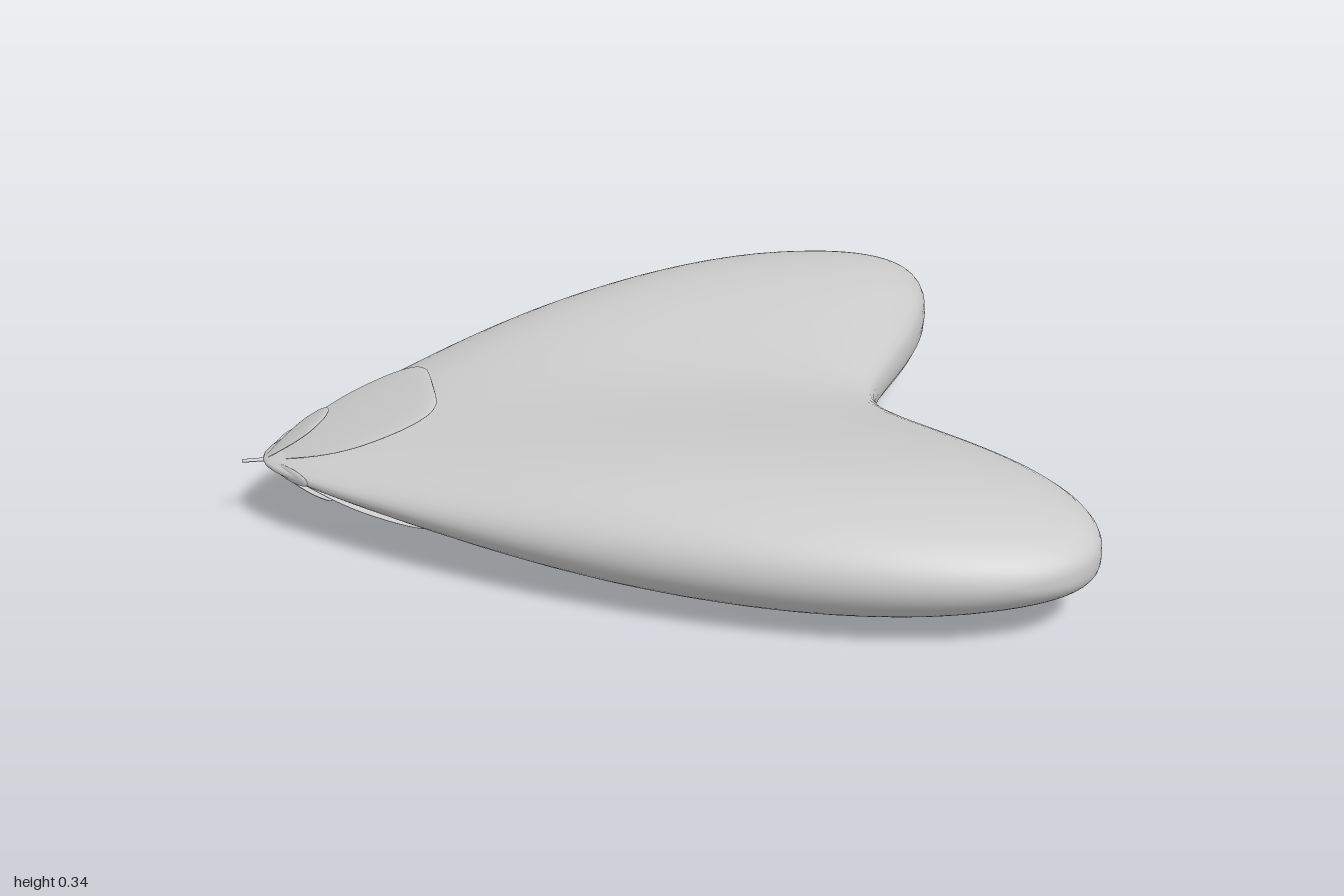
import * as THREE from 'three';
import { mergeVertices } from 'three/addons/utils/BufferGeometryUtils.js';

const MID = 0.178;   // height of the pod's flat middle plane
const TIP = -0.93;   // x of the pointed end
const material = new THREE.MeshStandardMaterial({ color: 0xcccccc });

function addMesh(parent, name, geometry) {
  const mesh = new THREE.Mesh(geometry, material);
  mesh.name = name;
  parent.add(mesh);
  return mesh;
}

// Heart-shaped pod: a sphere with poles at z = +-1, swept back on both lobes
function podGeometry() {
  const sphere = new THREE.SphereGeometry(1, 64, 96).rotateX(Math.PI / 2);
  const pos = sphere.attributes.position;
  const sweep = (z, k, e) => k * (Math.sqrt(z * z + e * e) - e);
  for (let i = 0; i < pos.count; i++) {
    const z = pos.getZ(i);
    const r = Math.sqrt(Math.max(0, 1 - z * z));
    const u = r > 1e-4 ? pos.getX(i) / r : 0;
    const v = r > 1e-4 ? pos.getY(i) / r : 0;
    // sharp sweep on the tip side, softer on the notch side
    const shift = THREE.MathUtils.lerp(sweep(z, 0.895, 0.08), sweep(z, 0.96, 0.15), (1 + u) / 2);
    const x = -0.145 + shift + 0.785 * r * u;
    // lobes thicker than the middle, thinning towards the tip, blunt at the rim
    const thick = r * (0.13 + 0.115 * THREE.MathUtils.smoothstep(Math.abs(z), 0, 1));
    const taper = 1 - 0.55 * Math.pow(Math.max(0, -x) / 0.93, 2.5);
    const power = u > 0 ? 1 - 0.3 * Math.min(1, u * 3) : 1;
    const y = Math.sign(v) * Math.pow(Math.abs(v), power) * thick * taper;
    pos.setXYZ(i, x, y, z);
  }
  // weld the seam so the shading stays smooth
  sphere.deleteAttribute('uv');
  sphere.deleteAttribute('normal');
  const welded = mergeVertices(sphere, 1e-4);
  welded.computeVertexNormals();
  return welded;
}

// Flat leaf growing along +x from the origin; profile is [position, half width]
function leafGeometry(profile, length, halfWidth, halfThickness) {
  const curve = new THREE.SplineCurve(profile.map(([t, w]) => new THREE.Vector2(w, t)));
  const points = curve.getPoints(36).map(p => new THREE.Vector2(Math.max(0, p.x), p.y));
  return new THREE.LatheGeometry(points, 32)
    .rotateZ(-Math.PI / 2)
    .scale(length, halfThickness, halfWidth);
}

export function createModel() {
  const group = new THREE.Group();
  group.name = 'heartSeedPod';

  addMesh(group, 'pod', podGeometry()).position.y = MID;

  const spoon = [[0, 0], [0.08, 0.2], [0.3, 0.66], [0.52, 0.93], [0.76, 1],
    [0.92, 0.9], [0.985, 0.68], [1, 0.4], [1, 0]];
  const oval = [[0, 0], [0.08, 0.25], [0.35, 0.75], [0.65, 1], [0.88, 0.75], [0.97, 0.4], [1, 0]];

  const flower = new THREE.Group();
  flower.name = 'flowerRemains';
  flower.position.set(TIP, MID, 0);
  group.add(flower);

  for (const side of [1, -1]) {
    const where = side > 0 ? 'upper' : 'lower';
    // large spoon-shaped petal and small sepal above and below
    addMesh(flower, where + 'Petal', leafGeometry(spoon, 0.46, 0.17, 0.012))
      .rotation.z = side * 0.37;
    addMesh(flower, where + 'Sepal', leafGeometry(oval, 0.21, 0.043, 0.008))
      .rotation.z = side * 0.63;
    // narrow sepals standing off to either side
    const leaf = leafGeometry(oval, 0.19, 0.018, 0.007).rotateX(Math.PI / 2);
    addMesh(flower, side > 0 ? 'frontSepal' : 'backSepal', leaf).rotation.y = -side * 1.02;
  }

  // short stalk at the tip
  const stalk = new THREE.CylinderGeometry(0.007, 0.008, 0.06, 16)
    .rotateZ(Math.PI / 2).scale(1, 0.5, 1);
  addMesh(flower, 'stalk', stalk).position.x = -0.02;

  return group;
}
